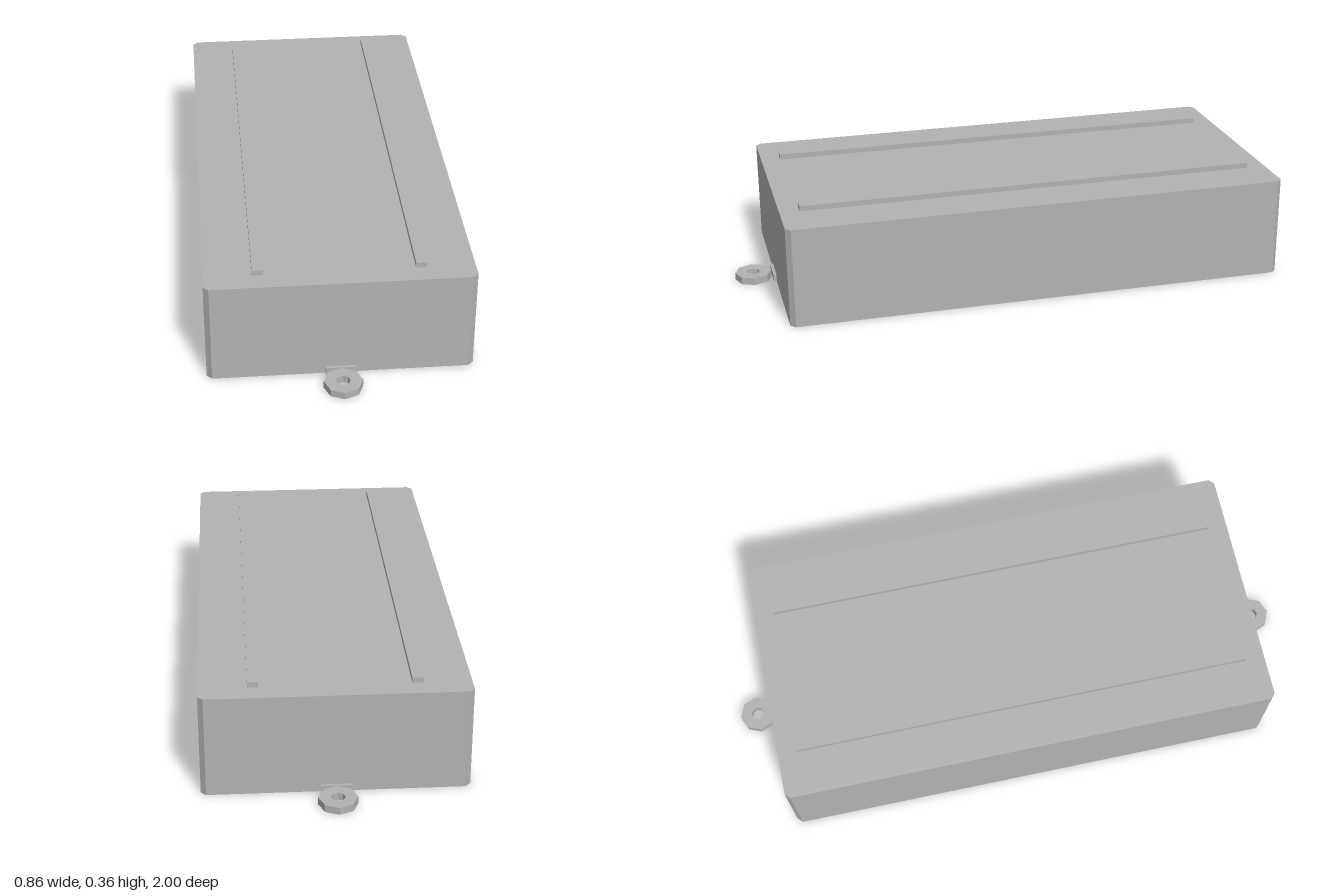
import * as THREE from 'three';

const grey = new THREE.MeshStandardMaterial({ color: 0xb3b3b3, flatShading: true });
grey.name = 'grey';

const W = 0.43, L = 0.862, H = 0.345, CHAMFER = 0.017, TAB_H = 0.025;

function addMesh(parent, name, geometry, x = 0, y = 0, z = 0) {
  const mesh = new THREE.Mesh(geometry, grey);
  mesh.name = name;
  mesh.position.set(x, y, z);
  parent.add(mesh);
  return mesh;
}

// Extrude a flat outline upward from y = 0
function extrudeUp(shape, height) {
  return new THREE.ExtrudeGeometry(shape, { depth: height, bevelEnabled: false }).rotateX(-Math.PI / 2);
}

// Octagon corners with points on the axes
function octagon(radius) {
  return Array.from({ length: 8 }, (_, i) => {
    const a = (i * Math.PI) / 4;
    return new THREE.Vector2(Math.cos(a) * radius, Math.sin(a) * radius);
  });
}

export function createModel() {
  const model = new THREE.Group();
  model.name = 'mountedBox';

  // Box body with chamfered vertical edges
  const c = CHAMFER;
  const outline = new THREE.Shape([
    [W - c, -L], [W, -L + c], [W, L - c], [W - c, L],
    [-W + c, L], [-W, L - c], [-W, -L + c], [-W + c, -L],
  ].map(([x, y]) => new THREE.Vector2(x, y)));
  addMesh(model, 'body', extrudeUp(outline, H));

  // Two long rails on the lid
  for (const side of [-1, 1]) {
    addMesh(model, side > 0 ? 'leftRail' : 'rightRail',
      new THREE.BoxGeometry(0.035, 0.018, 1.59), side * 0.258, H + 0.009, 0);
  }

  // Mounting lug at each end: narrow foot strip and octagonal eyelet
  const ring = new THREE.Shape(octagon(0.063));
  ring.holes.push(new THREE.Path(octagon(0.023).reverse()));
  for (const end of [-1, 1]) {
    const lug = new THREE.Group();
    lug.name = end > 0 ? 'frontLug' : 'backLug';
    addMesh(lug, 'lugFoot', new THREE.BoxGeometry(0.1, TAB_H, 0.01), 0, TAB_H / 2, end * (L + 0.005));
    addMesh(lug, 'lugEyelet', extrudeUp(ring, TAB_H), 0, 0, end * 0.937);
    model.add(lug);
  }

  return model;
}
